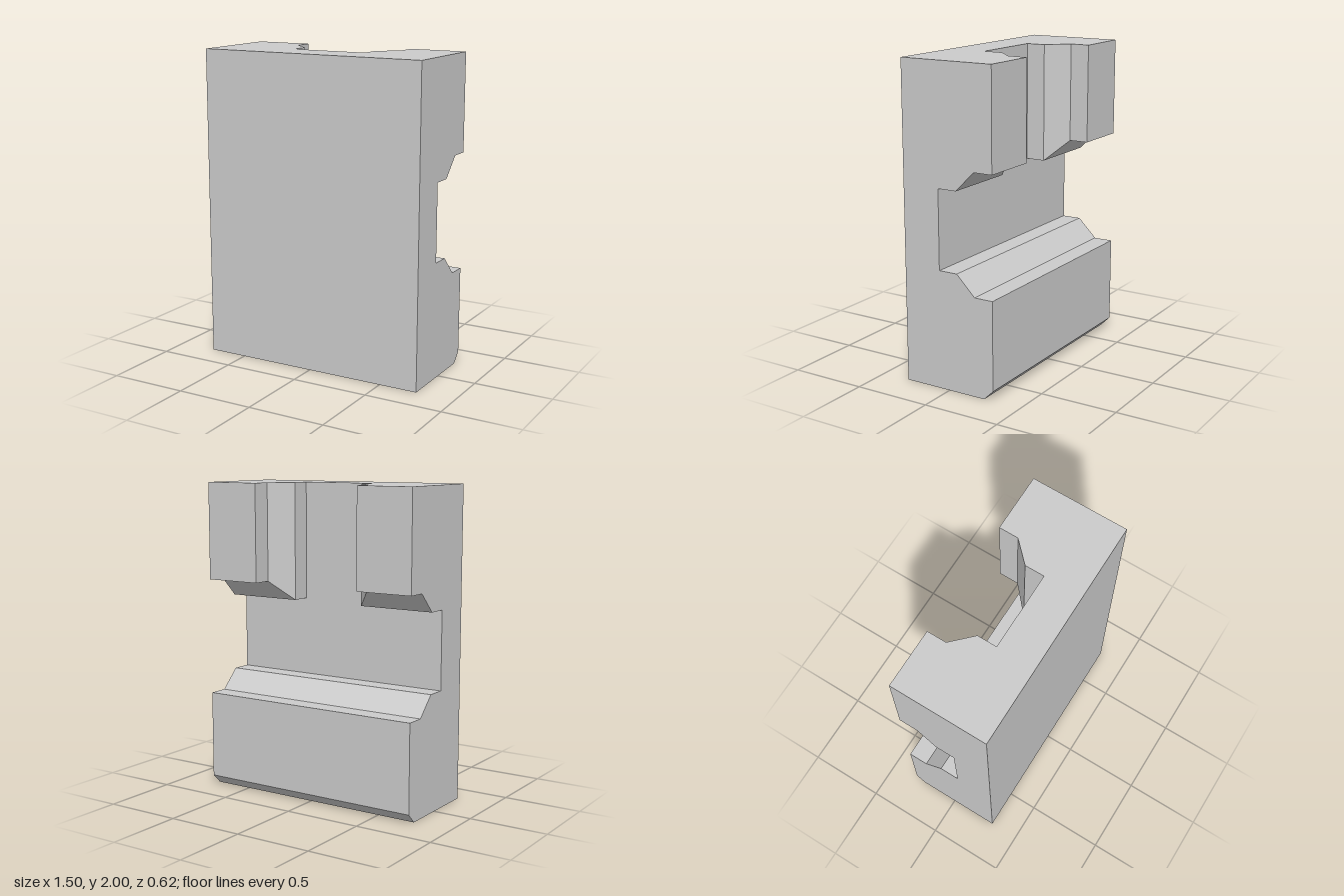
import * as THREE from 'three';

const W = 0.75, H = 2, MID = 1, FRONT = 0.3125, FLOOR = 0.0625;
// Channel half-width at each depth: narrow throat, sloped flank, wide mouth
const CHANNEL = [[FLOOR, 0.25], [-0.0625, 0.25], [-0.1875, 0.375], [-0.25, 0.375], [-0.3125, 0.375]];
const material = new THREE.MeshStandardMaterial({ color: 0xcccccc, flatShading: true });

// Joins rectangles [x0, x1, y0, y1, z], listed front to back, capped at one end
function loft(sections, cap) {
  const rings = sections.map(([x0, x1, y0, y1, z]) => [[x0, y0, z], [x1, y0, z], [x1, y1, z], [x0, y1, z]]);
  const positions = [];
  const quad = (a, b, c, d) => positions.push(...a, ...b, ...c, ...a, ...c, ...d);
  for (let i = 0; i + 1 < rings.length; i++) {
    for (let k = 0; k < 4; k++) {
      const n = (k + 1) % 4;
      quad(rings[i][k], rings[i + 1][k], rings[i + 1][n], rings[i][n]);
    }
  }
  if (cap === 'front') quad(...rings[0]);
  else quad(...rings[rings.length - 1].slice().reverse());
  const geometry = new THREE.BufferGeometry();
  geometry.setAttribute('position', new THREE.Float32BufferAttribute(positions, 3));
  geometry.computeVertexNormals();
  return geometry;
}

export function createModel() {
  const group = new THREE.Group();
  const add = (name, geometry) => {
    const mesh = new THREE.Mesh(geometry, material);
    mesh.name = name;
    group.add(mesh);
  };

  // Solid front slab
  add('frontPlate', loft([[-W, W, 0, H, FRONT], [-W, W, 0, H, FLOOR]], 'front'));

  // T-shaped floor of the channels, facing the back
  const t = 0.25;
  const floor = new THREE.Shape([
    [-W, MID - t], [W, MID - t], [W, MID + t], [t, MID + t],
    [t, H], [-t, H], [-t, MID + t], [-W, MID + t],
  ].map(([x, y]) => new THREE.Vector2(x, y)));
  add('channelFloor', new THREE.ShapeGeometry(floor).rotateY(Math.PI).translate(0, 0, FLOOR));

  // Lower block, bevelled along its bottom back edge
  add('lowerBlock', loft(CHANNEL.map(([z, w]) => [-W, W, Math.max(0, -0.25 - z), MID - w, z]), 'back'));

  // Upper blocks, stepped along both the upright and the cross channel
  add('upperLeftBlock', loft(CHANNEL.map(([z, w]) => [w, W, MID + w, H, z]), 'back'));
  add('upperRightBlock', loft(CHANNEL.map(([z, w]) => [-W, -w, MID + w, H, z]), 'back'));

  return group;
}
